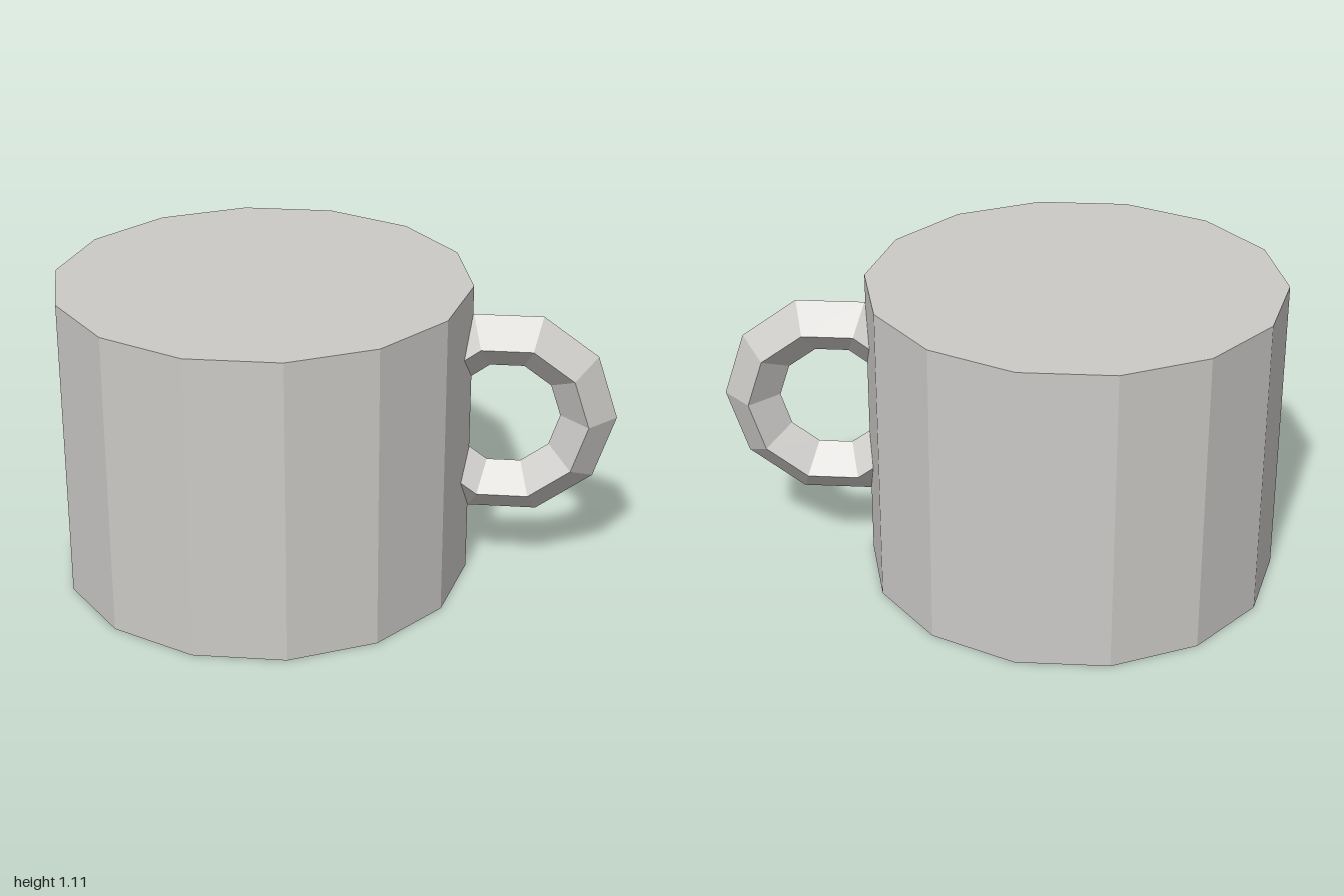
import * as THREE from 'three';

export function createModel() {
  const group = new THREE.Group();
  group.name = 'mug';

  const lightGrey = new THREE.MeshStandardMaterial({ color: 0xcccac7, flatShading: true });
  lightGrey.name = 'lightGrey';

  // Solid fourteen-sided body, one corner pointing at the handle
  const body = new THREE.Mesh(
    new THREE.CylinderGeometry(0.74, 0.74, 1.11, 14, 1, false, Math.PI / 2),
    lightGrey
  );
  body.name = 'body';
  body.position.set(-0.26, 0.555, 0);
  group.add(body);

  // Ten-segment ring with a diamond section, its inner part sunk in the body
  const handle = new THREE.Mesh(new THREE.TorusGeometry(0.295, 0.1, 4, 10), lightGrey);
  handle.name = 'handle';
  handle.position.set(0.605, 0.63, 0);
  group.add(handle);

  return group;
}
